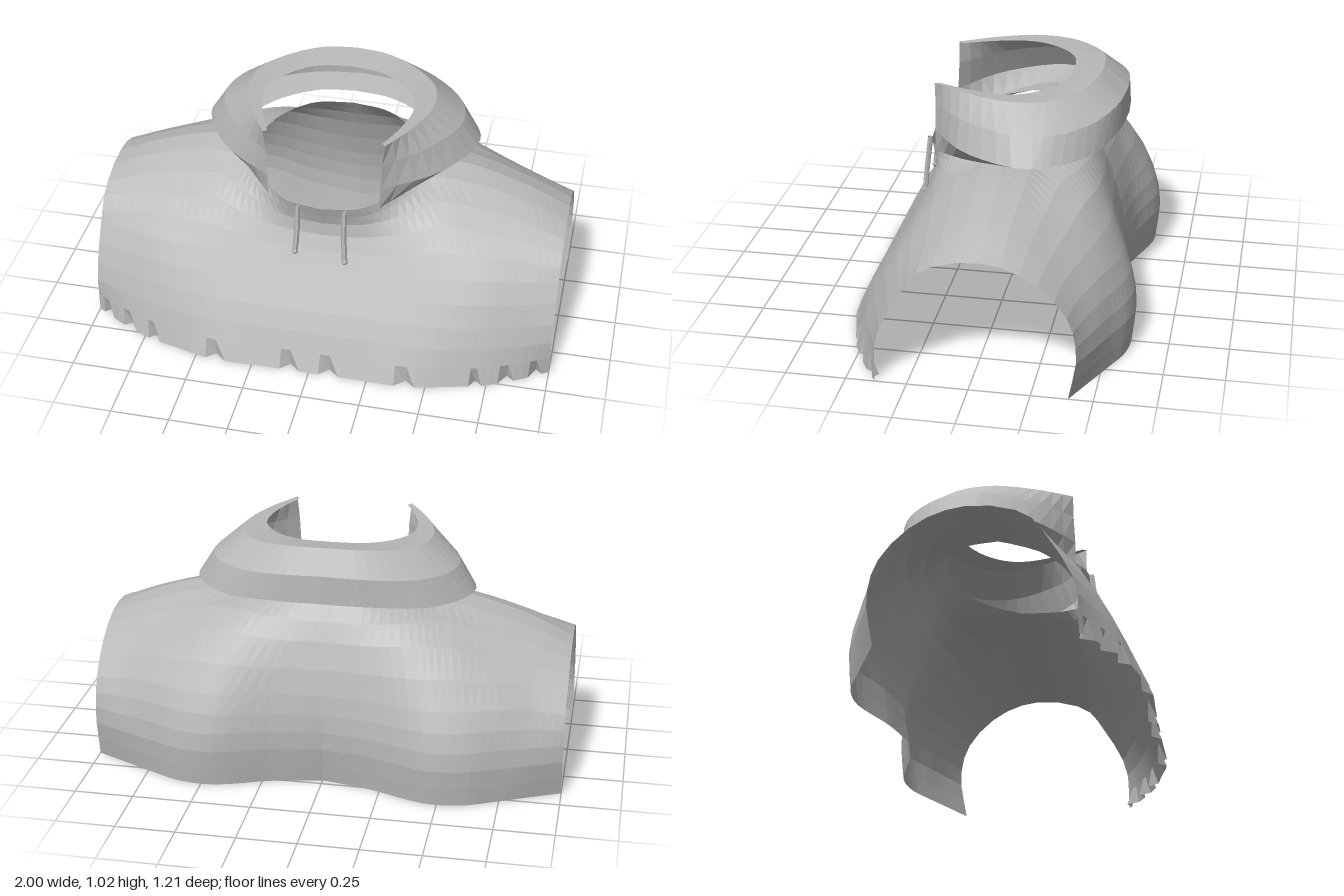
import * as THREE from 'three';

const cloth = new THREE.MeshStandardMaterial({ color: 0xb8b8b8, flatShading: true, side: THREE.DoubleSide });
cloth.name = 'grey cloth';

const curve = pts => new THREE.CatmullRomCurve3(pts.map(p => new THREE.Vector3(...p)));

// Sheet mirrored across x = 0; section(u) gives the points of one column, u = 0 at the centre
function mirroredSheet(name, cols, section) {
  const pos = [], index = [];
  const rows = section(0, 0).length;
  for (let i = -cols; i <= cols; i++) {
    const j = Math.abs(i);
    section(j / cols, j).forEach((p, k) => {
      pos.push(p.x * Math.sign(i), p.y, p.z);
      if (i < cols && k < rows - 1) {
        const a = (i + cols) * rows + k, b = a + rows;
        index.push(a, b, a + 1, b, b + 1, a + 1);
      }
    });
  }
  const geo = new THREE.BufferGeometry();
  geo.setAttribute('position', new THREE.Float32BufferAttribute(pos, 3));
  geo.setIndex(index);
  geo.computeVertexNormals();
  const mesh = new THREE.Mesh(geo, cloth);
  mesh.name = name;
  return mesh;
}

// Top edge of a panel: round the neck to u = 0.5, then out along the shared shoulder ridge
const neckSide = [0.36, 0.745, -0.03];
const shoulder = curve([neckSide, [0.55, 0.728, -0.05], [0.8, 0.657, -0.05], [1, 0.568, -0.05]]);
function topEdge(neckPoints) {
  const neck = curve([...neckPoints, neckSide]);
  return { getPoint: u => (u < 0.5 ? neck.getPoint(u * 2) : shoulder.getPoint(u * 2 - 1)) };
}

// Front panel, hem to neckline
const frontRows = [
  curve([[0, 0, 0.6], [0.2, 0, 0.6], [0.43, 0, 0.6], [0.6, 0, 0.56], [0.72, 0, 0.53], [0.87, 0, 0.46], [1, 0, 0.38]]),
  curve([[0, 0.2, 0.505], [0.2, 0.2, 0.505], [0.43, 0.2, 0.505], [0.6, 0.2, 0.49], [0.73, 0.2, 0.46], [0.88, 0.2, 0.41], [1, 0.2, 0.37]]),
  curve([[0, 0.4, 0.385], [0.19, 0.4, 0.385], [0.4, 0.41, 0.38], [0.55, 0.42, 0.37], [0.7, 0.42, 0.35], [0.86, 0.41, 0.31], [1, 0.4, 0.27]]),
  curve([[0, 0.56, 0.31], [0.17, 0.57, 0.3], [0.33, 0.6, 0.26], [0.48, 0.63, 0.2], [0.66, 0.6, 0.18], [0.84, 0.56, 0.17], [1, 0.515, 0.18]]),
  topEdge([[0, 0.68, 0.34], [0.17, 0.69, 0.31], [0.3, 0.715, 0.17]]),
];

// Back panel with two shoulder-blade swells
const backRows = [
  curve([[0, 0, -0.47], [0.2, 0, -0.51], [0.45, 0, -0.59], [0.6, 0, -0.58], [0.72, 0, -0.53], [0.87, 0, -0.46], [1, 0, -0.4]]),
  curve([[0, 0.2, -0.5], [0.2, 0.2, -0.53], [0.46, 0.2, -0.605], [0.6, 0.2, -0.59], [0.75, 0.2, -0.53], [0.88, 0.2, -0.48], [1, 0.2, -0.43]]),
  curve([[0, 0.4, -0.48], [0.2, 0.4, -0.5], [0.43, 0.4, -0.545], [0.57, 0.4, -0.53], [0.72, 0.4, -0.48], [0.87, 0.38, -0.42], [1, 0.36, -0.39]]),
  curve([[0, 0.66, -0.39], [0.17, 0.66, -0.4], [0.36, 0.67, -0.38], [0.5, 0.66, -0.34], [0.67, 0.61, -0.3], [0.85, 0.56, -0.26], [1, 0.51, -0.24]]),
  topEdge([[0, 0.79, -0.31], [0.17, 0.785, -0.28], [0.3, 0.765, -0.17]]),
];

// Column of a panel; past the neck it bends smoothly towards the opposite panel
function panelSection(rows, opposite, steps) {
  return u => {
    const pts = rows.map(r => r.getPoint(u));
    const straightOn = pts[4].clone().multiplyScalar(2).sub(pts[3]);
    const overRidge = opposite[3].getPoint(u);
    pts.push(straightOn.lerp(overRidge, THREE.MathUtils.smoothstep(u, 0.42, 0.6)));
    const across = new THREE.CatmullRomCurve3(pts);
    return Array.from({ length: steps + 1 }, (_, k) => across.getPoint((k / steps) * 0.8));
  };
}

// Collar rings from back centre to front edge: underside, widest, upper crease, top, inner rim
const collarRows = [
  curve([[0, 0.8, -0.39], [0.16, 0.797, -0.37], [0.33, 0.78, -0.28], [0.43, 0.76, -0.16], [0.46, 0.742, -0.06], [0.37, 0.71, 0.12], [0.235, 0.682, 0.285]]),
  curve([[0, 0.822, -0.505], [0.2, 0.815, -0.485], [0.42, 0.795, -0.4], [0.56, 0.79, -0.25], [0.59, 0.79, -0.12], [0.46, 0.785, 0.12], [0.24, 0.78, 0.285]]),
  curve([[0, 0.94, -0.5], [0.18, 0.93, -0.48], [0.36, 0.91, -0.4], [0.49, 0.9, -0.26], [0.52, 0.9, -0.1], [0.41, 0.9, 0.12], [0.245, 0.9, 0.28]]),
  curve([[0, 1.022, -0.395], [0.14, 1.017, -0.38], [0.28, 1.002, -0.315], [0.38, 0.995, -0.2], [0.4, 0.995, -0.05], [0.34, 0.995, 0.13], [0.255, 0.995, 0.28]]),
  curve([[0, 1.003, -0.27], [0.14, 1, -0.25], [0.25, 0.995, -0.175], [0.31, 0.993, -0.08], [0.32, 0.993, 0.01], [0.29, 0.993, 0.14], [0.24, 0.993, 0.262]]),
];

export function createModel() {
  const model = new THREE.Group();
  model.name = 'hoodedTop';

  // Front panel with small tucks pinched into the hem
  const tucks = [2, 9, 18, 22, 26];
  const frontSection = panelSection(frontRows, backRows, 10);
  model.add(mirroredSheet('frontPanel', 28, (u, j) => {
    const pts = frontSection(u);
    if (tucks.includes(j)) pts[0].z -= 0.04;
    return pts;
  }));
  model.add(mirroredSheet('backPanel', 28, panelSection(backRows, frontRows, 10)));
  model.add(mirroredSheet('collar', 22, u => collarRows.map(r => r.getPoint(u))));

  // Drawstrings with thicker rounded tips
  for (const side of [-1, 1]) {
    const end = side > 0 ? 0.44 : 0.465;
    const string = new THREE.Group();
    string.name = side > 0 ? 'leftDrawstring' : 'rightDrawstring';
    const path = curve([[side * 0.1, 0.685, 0.338], [side * 0.1, 0.57, 0.352], [side * 0.107, end, 0.365]]);
    const cord = new THREE.Mesh(new THREE.TubeGeometry(path, 8, 0.012, 6), cloth);
    cord.name = 'cord';
    const tip = new THREE.Mesh(new THREE.SphereGeometry(0.015, 6, 5), cloth);
    tip.name = 'cordTip';
    tip.position.set(side * 0.107, end, 0.365);
    string.add(cord, tip);
    model.add(string);
  }
  return model;
}
